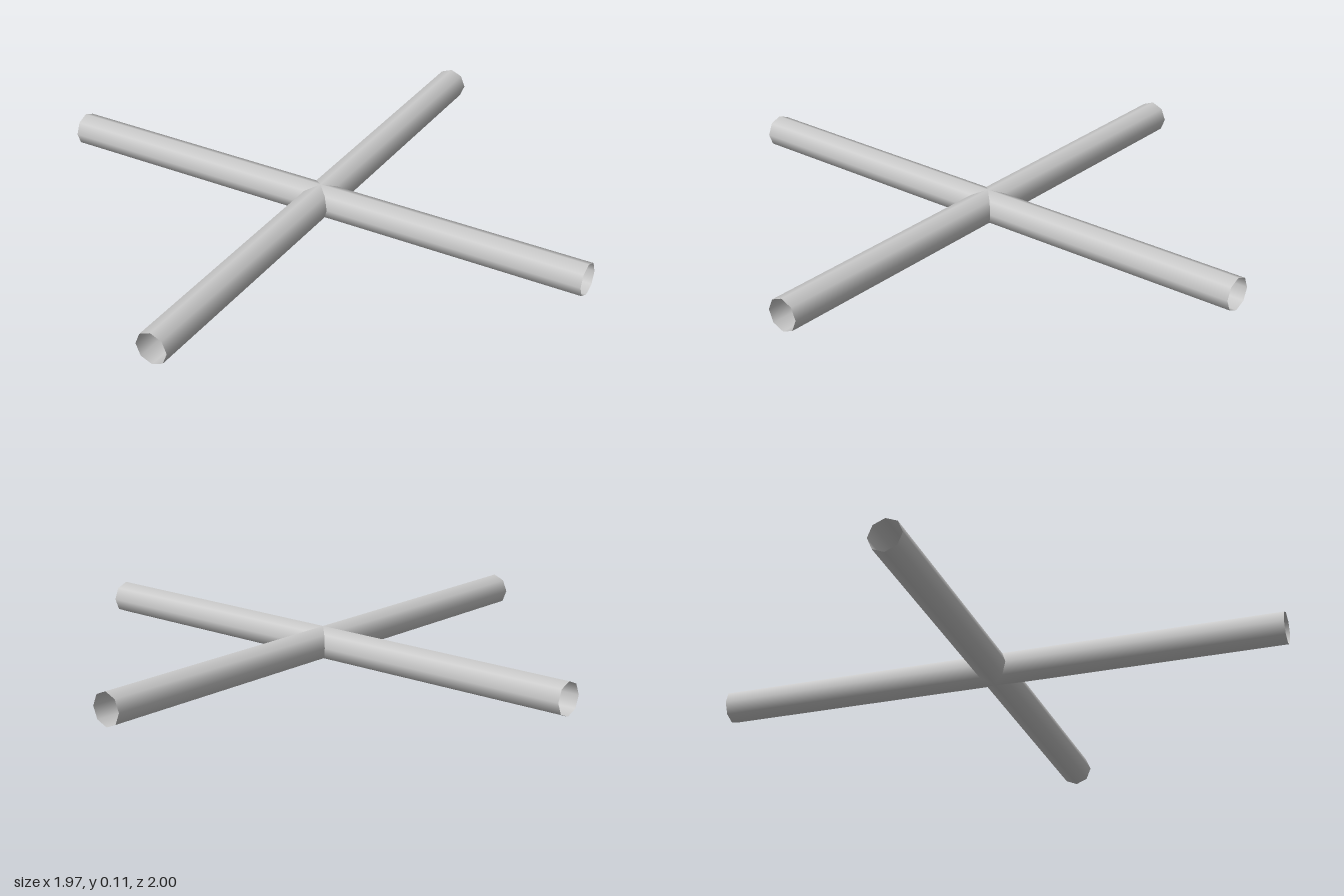
import * as THREE from 'three';

const RADIUS = 0.057;
const CENTRE = new THREE.Vector3(0.005, RADIUS, -0.005);

// Open eight-sided tube along +z, its inner end mitred to a point at the crossing
function mitredTube(length) {
  const geo = new THREE.CylinderGeometry(RADIUS, RADIUS, length, 8, 1, true);
  geo.translate(0, length / 2, 0);
  const pos = geo.attributes.position;
  for (let i = 0; i < pos.count; i++) {
    if (pos.getY(i) < length / 2) pos.setY(i, Math.abs(pos.getX(i)));
  }
  return geo.rotateX(Math.PI / 2);
}

export function createModel() {
  const model = new THREE.Group();
  model.name = 'crossPipe';
  const material = new THREE.MeshStandardMaterial({ color: 0xcccccc, side: THREE.DoubleSide });

  // Four arms, a quarter turn apart
  const arms = [
    ['frontArm', 1.005],
    ['leftArm', 0.982],
    ['backArm', 0.995],
    ['rightArm', 0.993],
  ];
  arms.forEach(([name, length], i) => {
    const arm = new THREE.Mesh(mitredTube(length), material);
    arm.name = name;
    arm.position.copy(CENTRE);
    arm.rotation.y = i * Math.PI / 2;
    model.add(arm);
  });
  return model;
}
